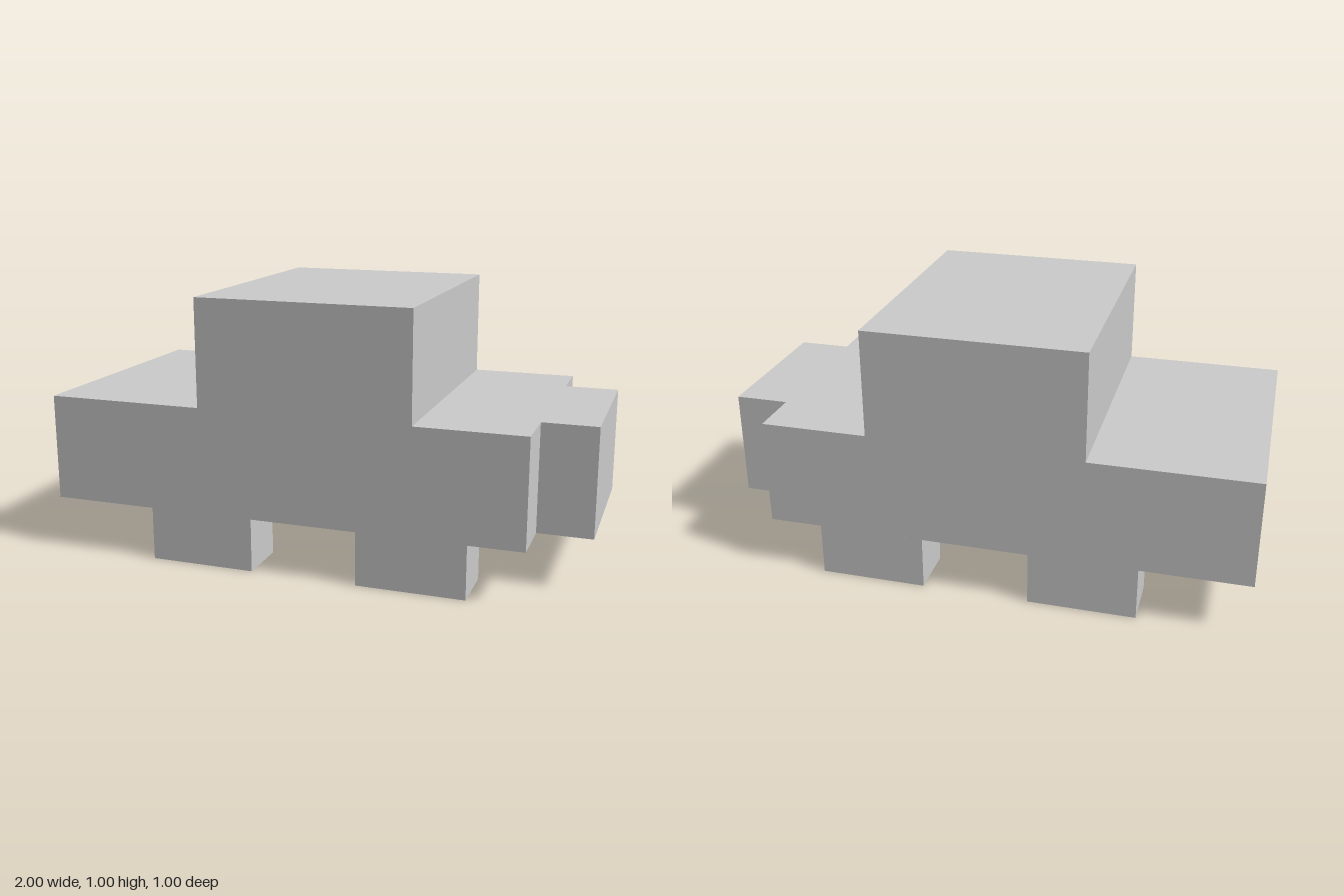
import * as THREE from 'three';

const material = new THREE.MeshStandardMaterial({ color: 0xcccccc, flatShading: true });

function addPart(group, name, geometry, x = 0, y = 0, z = 0) {
  const mesh = new THREE.Mesh(geometry, material);
  mesh.name = name;
  mesh.position.set(x, y, z);
  group.add(mesh);
}

// Body outline seen from above (shape y is -z), with a narrower nose at +x
function bodyPlan() {
  return new THREE.Shape([
    [-1, -0.5], [0.8, -0.5], [0.8, -0.3], [1, -0.3],
    [1, 0.3], [0.8, 0.3], [0.8, 0.5], [-1, 0.5],
  ].map(([x, y]) => new THREE.Vector2(x, y)));
}

function slab(shape, height) {
  return new THREE.ExtrudeGeometry(shape, { depth: height, bevelEnabled: false })
    .rotateX(-Math.PI / 2);
}

export function createModel() {
  const model = new THREE.Group();
  model.name = 'blockCar';

  // Lower body, with a square pocket in the underside
  const lowerPlan = bodyPlan();
  lowerPlan.holes.push(new THREE.Path([
    [-0.2, 0.1], [-0.2, 0.3], [0, 0.3], [0, 0.1],
  ].map(([x, y]) => new THREE.Vector2(x, y))));
  addPart(model, 'lowerBody', slab(lowerPlan, 0.2), 0, 0.2, 0);

  // Upper body, closing the pocket
  addPart(model, 'upperBody', slab(bodyPlan(), 0.2), 0, 0.4, 0);

  // Cabin across the full width
  addPart(model, 'cabin', new THREE.BoxGeometry(0.8, 0.4, 1), 0, 0.8, 0);

  // Four block wheels at the sides
  for (const x of [-0.4, 0.4]) {
    for (const z of [-0.4, 0.4]) {
      const name = (x > 0 ? 'nose' : 'tail') + (z > 0 ? 'Front' : 'Back') + 'Wheel';
      addPart(model, name, new THREE.BoxGeometry(0.4, 0.2, 0.2), x, 0.1, z);
    }
  }
  return model;
}
